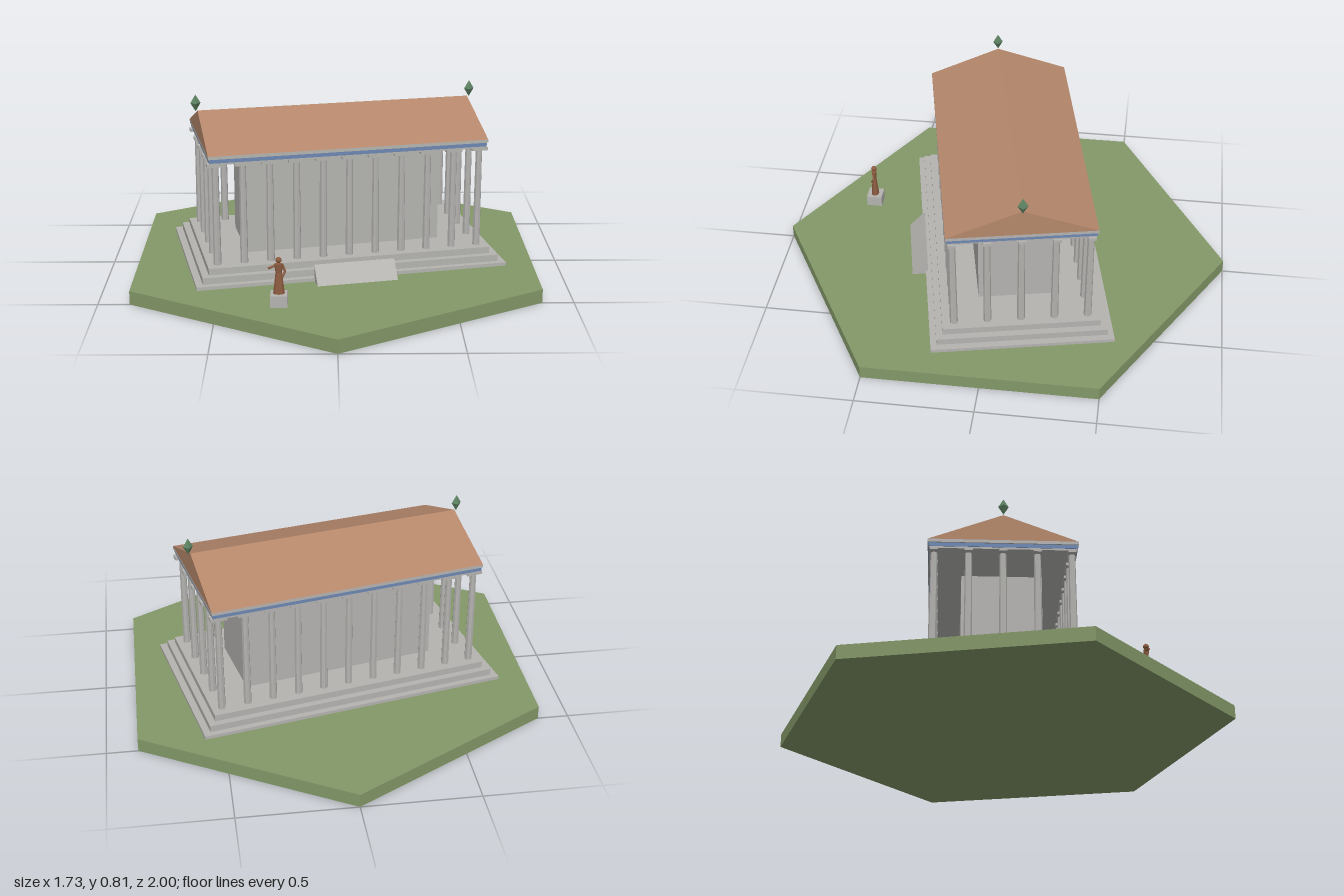
import * as THREE from 'three';

const mat = (name, color, flatShading = true) => {
  const m = new THREE.MeshStandardMaterial({ color, flatShading });
  m.name = name;
  return m;
};

export function createModel() {
  const grass = mat('grass green', 0x839868);
  const stone = mat('pale stone', 0xb4b3b0);
  const tile = mat('terracotta', 0xb5876b);
  const blue = mat('frieze blue', 0x6d87b2);
  const bronze = mat('bronze', 0x8c5c40);
  const patina = mat('patina green', 0x5f8464);

  const model = new THREE.Group();
  const add = (parent, name, geo, material, x = 0, y = 0, z = 0) => {
    const mesh = new THREE.Mesh(geo, material);
    mesh.name = name;
    mesh.position.set(x, y, z);
    parent.add(mesh);
    return mesh;
  };
  // Box given by its half sizes in plan and its bottom and top heights
  const slab = (parent, name, hx, hz, y0, y1, material, x = 0, z = 0) =>
    add(parent, name, new THREE.BoxGeometry(hx * 2, y1 - y0, hz * 2), material, x, (y0 + y1) / 2, z);
  // Prism along x from a profile of [z, y] points
  const prism = (profile, length) => {
    const shape = new THREE.Shape(profile.map(([z, y]) => new THREE.Vector2(-z, y)));
    return new THREE.ExtrudeGeometry(shape, { depth: length, bevelEnabled: false })
      .translate(0, 0, -length / 2).rotateY(Math.PI / 2);
  };

  // Hexagonal ground with corners on the z axis
  add(model, 'ground', new THREE.CylinderGeometry(1, 1, 0.06, 6), grass, 0, 0.03, 0);

  const temple = new THREE.Group();
  temple.name = 'temple';
  temple.position.z = -0.021;
  temple.rotation.y = THREE.MathUtils.degToRad(12);
  model.add(temple);

  // Stepped base
  [[0.68, 0.39, 0.06, 0.075], [0.65, 0.364, 0.075, 0.104], [0.62, 0.336, 0.104, 0.133]]
    .forEach(([hx, hz, y0, y1], i) => slab(temple, `step${i + 1}`, hx, hz, y0, y1, stone));

  // Entrance ramp
  add(temple, 'ramp', prism([[0.45, 0.06], [0.38, 0.132], [0.38, 0.06]], 0.35), stone);

  // Inner chamber
  slab(temple, 'chamber', 0.43, 0.17, 0.133, 0.54, stone);

  // Colonnade around the edge
  const shaft = new THREE.CylinderGeometry(0.0145, 0.017, 0.434, 8);
  const capital = new THREE.BoxGeometry(0.07, 0.014, 0.034);
  const nx = 11, nz = 5, ux = 0.575, uz = 0.285;
  for (let i = 0; i < nx; i++) {
    for (let j = 0; j < nz; j++) {
      if (i > 0 && i < nx - 1 && j > 0 && j < nz - 1) continue;
      const x = -ux + (2 * ux * i) / (nx - 1);
      const z = -uz + (2 * uz * j) / (nz - 1);
      add(temple, 'column', shaft, stone, x, 0.35, z);
      add(temple, 'capital', capital, stone, x, 0.573, z);
    }
  }

  // Beam, painted frieze and cornice
  slab(temple, 'architrave', 0.6, 0.306, 0.578, 0.586, stone);
  slab(temple, 'frieze', 0.602, 0.308, 0.586, 0.603, blue);
  slab(temple, 'cornice', 0.607, 0.312, 0.603, 0.617, stone);

  // Gabled roof
  add(temple, 'roof', prism([[0.312, 0.617], [0, 0.736], [-0.312, 0.617]], 1.214), tile);

  // Ridge ornaments
  for (const s of [-1, 1]) {
    const ornament = add(temple, 'ridgeOrnament', new THREE.OctahedronGeometry(1), patina, s * 0.615, 0.77, 0);
    ornament.scale.set(0.022, 0.037, 0.022);
  }

  // Statue on a pedestal
  const statue = new THREE.Group();
  statue.name = 'statue';
  statue.position.set(-0.235, 0.06, 0.65);
  model.add(statue);
  slab(statue, 'pedestal', 0.035, 0.035, 0, 0.05, stone);
  const robe = add(statue, 'robe', new THREE.CylinderGeometry(0.013, 0.024, 0.09, 8), bronze, 0, 0.095, 0);
  robe.scale.z = 0.75;
  const torso = add(statue, 'torso', new THREE.CylinderGeometry(0.018, 0.013, 0.04, 8), bronze, 0, 0.158, 0);
  torso.scale.z = 0.65;
  add(statue, 'head', new THREE.SphereGeometry(0.013, 8, 6), bronze, 0, 0.194, 0);

  const limb = (name, a, b, r) => {
    const from = new THREE.Vector3(...a), to = new THREE.Vector3(...b);
    const path = new THREE.LineCurve3(from, to);
    const mid = path.getPoint(0.5);
    const mesh = add(statue, name, new THREE.CylinderGeometry(r, r, path.getLength(), 6), bronze, mid.x, mid.y, mid.z);
    mesh.quaternion.setFromUnitVectors(new THREE.Vector3(0, 1, 0), to.sub(from).normalize());
  };
  limb('outstretchedArm', [-0.012, 0.172, 0], [-0.042, 0.163, 0.014], 0.005);
  limb('upperArm', [0.015, 0.174, 0], [0.026, 0.145, 0], 0.005);
  limb('forearm', [0.026, 0.145, 0], [0.015, 0.125, 0.012], 0.0045);

  return model;
}
